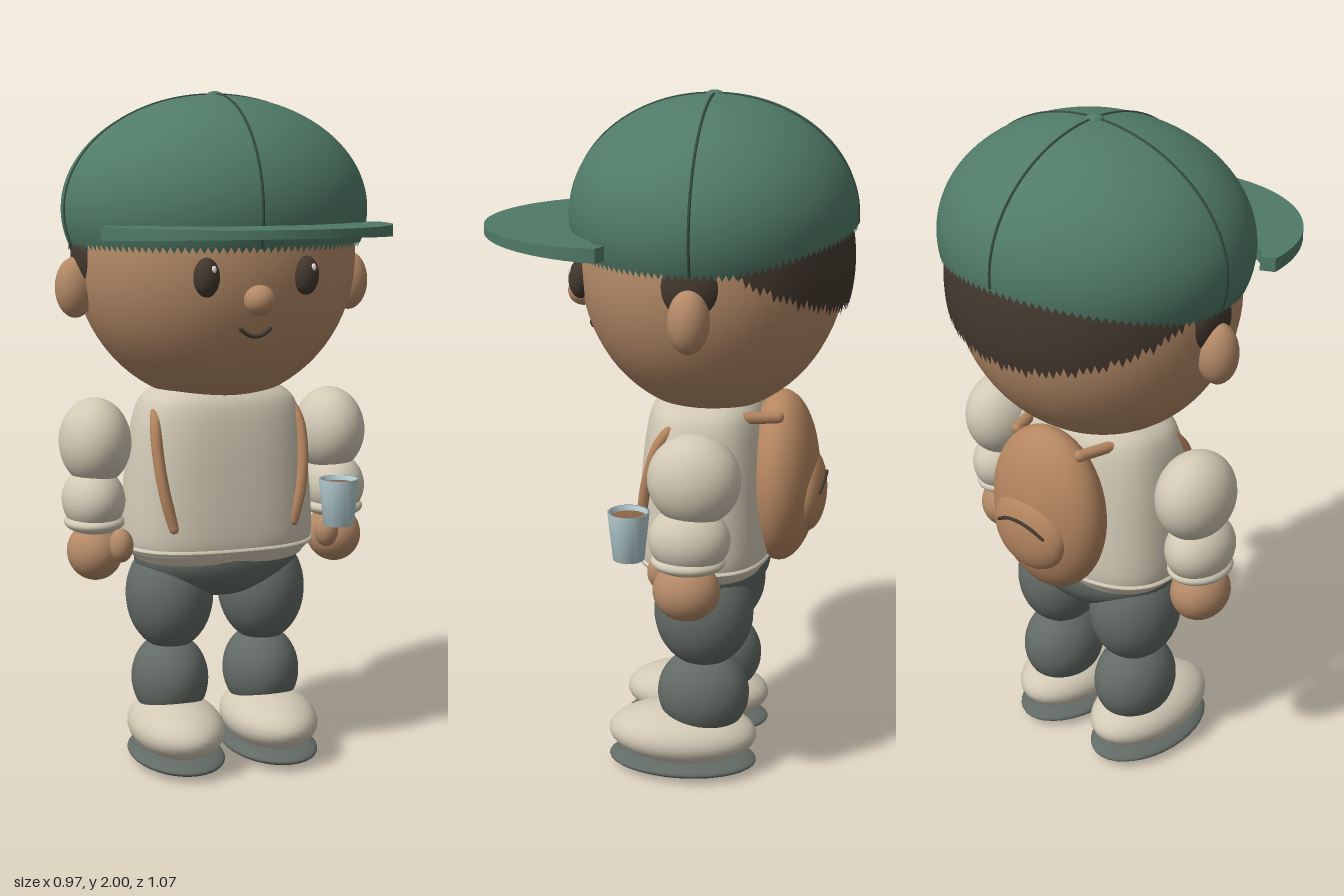
import * as THREE from 'three';

const mat = (name, color, side = THREE.FrontSide) => {
  const m = new THREE.MeshStandardMaterial({ color, side });
  m.name = name;
  return m;
};

export function createModel() {
  const root = new THREE.Group();
  root.name = 'figure';
  const skin = mat('skin', 0xb48a67);
  const green = mat('cap green', 0x507a67, THREE.DoubleSide);
  const seam = mat('seam green', 0x34493f);
  const dark = mat('dark brown', 0x43382e, THREE.DoubleSide);
  const cream = mat('cream', 0xd2c9b5);
  const grey = mat('trouser grey', 0x636b66);
  const tan = mat('pack tan', 0xb58660);
  const glass = mat('cup blue', 0xb7d0d4, THREE.DoubleSide);
  const white = mat('white', 0xf4f2ec);
  const drink = mat('drink brown', 0x8c6448);
  const ZC = -0.125; // depth of the body axis

  const add = (name, geo, material) => {
    const m = new THREE.Mesh(geo, material);
    m.name = name;
    root.add(m);
    return m;
  };
  const ball = (name, material, p, r, seg = 36) => {
    const m = add(name, new THREE.SphereGeometry(1, seg, Math.round(seg * 0.67)), material);
    m.position.set(...p);
    m.scale.set(...r);
    return m;
  };
  const tube = (name, material, pts, r, n = 32) => {
    const curve = new THREE.CatmullRomCurve3(pts.map((p) => new THREE.Vector3(...p)));
    const m = add(name, new THREE.TubeGeometry(curve, n, r, 10), material);
    for (const p of [pts[0], pts[pts.length - 1]]) ball(name + 'End', material, p, [r, r, r], 10);
    return m;
  };

  // Ellipsoid shell cut off at a height that varies around the head
  const shell = (name, material, cy, rx, ry, rz, cutY) => {
    const geo = new THREE.SphereGeometry(1, 128, 32);
    const { position: P, normal: N, uv } = geo.attributes;
    for (let i = 0; i < P.count; i++) {
      const a = uv.getX(i) * Math.PI * 2;
      const end = Math.acos(THREE.MathUtils.clamp((cutY(-Math.cos(a), a) - cy) / ry, -1, 1));
      const f = (1 - uv.getY(i)) * end;
      const d = new THREE.Vector3(Math.sin(f) * Math.sin(a), Math.cos(f), Math.sin(f) * Math.cos(a));
      P.setXYZ(i, d.x * rx, d.y * ry + cy, d.z * rz + ZC);
      d.set(d.x / rx, d.y / ry, d.z / rz).normalize();
      N.setXYZ(i, d.x, d.y, d.z);
    }
    return add(name, geo, material);
  };
  const backness = (c) => Math.max(0, (c - 0.29) / 0.71);

  // Head and face
  ball('head', skin, [0, 1.52, ZC], [0.42, 0.43, 0.378], 56);
  ball('nose', skin, [0, 1.42, 0.255], [0.045, 0.043, 0.045], 24);
  tube('mouth', dark, [[-0.044, 1.338, 0.222], [-0.022, 1.322, 0.222], [0, 1.317, 0.222],
    [0.022, 1.322, 0.222], [0.044, 1.338, 0.222]], 0.006);
  for (const s of [-1, 1]) {
    ball('eye', dark, [0.147 * s, 1.485, 0.23], [0.037, 0.055, 0.034], 24);
    ball('eyeGlint', white, [0.147 * s + 0.012, 1.508, 0.257], [0.008, 0.011, 0.006], 12);
    ball('ear', skin, [0.428 * s, 1.44, -0.122], [0.058, 0.088, 0.057], 28);
    ball('sideburn', dark, [0.385 * s, 1.525, -0.122], [0.05, 0.095, 0.09], 28);
  }

  // Hair at the back with a ragged lower edge
  shell('hair', dark, 1.53, 0.434, 0.45, 0.402, (c, a) => (c < 0.29 ? 1.6
    : 1.55 - 0.15 * Math.pow(backness(c), 0.9) + 0.005 * Math.sin(a * 37) + 0.004 * Math.sin(a * 61)));

  // Cap crown, seams, button
  shell('capCrown', green, 1.66, 0.455, 0.33, 0.407, (c) => 1.55 + 0.07 * backness(c));
  const arcX = [], arcZ = [];
  for (let i = 0; i <= 32; i++) {
    const f = -1.86 + (3.72 * i) / 32;
    const y = 1.66 + 0.33 * Math.cos(f);
    arcX.push([0.455 * Math.sin(f), y, ZC]);
    if (f > -1.68) arcZ.push([0, y, ZC + 0.407 * Math.sin(f)]);
  }
  tube('capSeam', seam, arcX, 0.004, 64);
  tube('capSeam', seam, arcZ, 0.004, 64);
  ball('capButton', green, [0, 1.983, ZC], [0.028, 0.017, 0.028], 20);

  // Cap brim
  const brim = [];
  for (let i = 0; i <= 40; i++) {
    const a = (Math.PI * i) / 40;
    brim.push(new THREE.Vector2(0.42 * Math.cos(a), -0.13 - 0.4 * Math.sin(a)));
  }
  for (let i = 20; i >= 0; i--) {
    const a = (Math.PI * i) / 20;
    brim.push(new THREE.Vector2(0.38 * Math.cos(a), -0.113 - 0.1 * Math.sin(a)));
  }
  const brimGeo = new THREE.ExtrudeGeometry(new THREE.Shape(brim), { depth: 0.024, bevelEnabled: false });
  brimGeo.rotateX(-Math.PI / 2);
  const bp = brimGeo.attributes.position;
  for (let i = 0; i < bp.count; i++) {
    // The underside drops slightly towards the crown
    const drop = bp.getY(i) < 0.01 ? (0.53 - bp.getZ(i)) * 0.04 : 0;
    bp.setY(i, bp.getY(i) + 1.602 - drop);
  }
  brimGeo.computeVertexNormals();
  add('capBrim', brimGeo, green);

  // Torso: a lathe squared off into a rounded-box section
  const squared = (geo) => {
    const P = geo.attributes.position;
    for (let i = 0; i < P.count; i++) {
      const x = P.getX(i), z = P.getZ(i), r = Math.hypot(x, z);
      if (r < 1e-6) continue;
      const k = r / Math.pow(Math.pow(Math.abs(x), 2.6) + Math.pow(Math.abs(z), 2.6), 1 / 2.6);
      P.setXYZ(i, x * k, P.getY(i), z * k * 0.68 + ZC + 0.01);
    }
    geo.computeVertexNormals();
    return geo;
  };
  const profile = [[0, 0.62], [0.22, 0.622], [0.265, 0.645], [0.285, 0.68], [0.287, 0.75], [0.278, 0.87],
    [0.265, 0.98], [0.245, 1.07], [0.215, 1.12], [0.15, 1.15], [0, 1.16]];
  const smooth = new THREE.SplineCurve(profile.map((p) => new THREE.Vector2(...p))).getPoints(40);
  smooth.forEach((p) => { p.x = Math.max(0, p.x); });
  add('sweater', squared(new THREE.LatheGeometry(smooth, 64)), cream);
  const hem = new THREE.TorusGeometry(0.283, 0.008, 8, 64).rotateX(Math.PI / 2).translate(0, 0.67, 0);
  add('sweaterHem', squared(hem), cream);

  // Hips
  ball('hips', grey, [0, 0.635, -0.12], [0.255, 0.135, 0.182]);

  for (const s of [-1, 1]) {
    // Legs and shoes
    ball('thigh', grey, [0.147 * s, 0.51, -0.125], [0.131, 0.17, 0.146]);
    ball('shin', grey, [0.147 * s, 0.25, -0.125], [0.115, 0.135, 0.136]);
    ball('shoe', cream, [0.149 * s, 0.118, -0.063], [0.138, 0.087, 0.222]);
    ball('sole', grey, [0.149 * s, 0.034, -0.063], [0.138, 0.03, 0.222]);

    // Arms and hands
    ball('upperArm', cream, [0.372 * s, 0.985, -0.13], [0.105, 0.13, 0.13]);
    ball('forearm', cream, [0.382 * s, 0.815, -0.118], [0.092, 0.098, 0.115]);
    ball('cuff', cream, [0.381 * s, 0.75, -0.115], [0.088, 0.034, 0.104]);
    ball('hand', skin, [0.381 * s, 0.662, -0.111], [0.082, 0.086, 0.095]);
    ball('thumb', skin, [0.324 * s, 0.69, -0.03], [0.036, 0.05, 0.04], 24);

    // Pack straps running over the shoulders
    tube('strap', tan, [[0.185 * s, 0.745, 0.045], [0.21 * s, 0.84, 0.042], [0.224 * s, 0.95, 0.022],
      [0.222 * s, 1.04, -0.01], [0.205 * s, 1.09, -0.06], [0.18 * s, 1.1, -0.14], [0.12 * s, 1.1, -0.33]], 0.017, 48);
  }

  // Backpack with a pocket and zip
  ball('backpack', tan, [0, 0.89, -0.33], [0.195, 0.255, 0.112], 44);
  ball('packPocket', tan, [0, 0.85, -0.41], [0.13, 0.12, 0.054]);
  tube('packZip', dark, [[-0.085, 0.87, -0.45], [-0.045, 0.893, -0.459], [0, 0.9, -0.461],
    [0.045, 0.893, -0.459], [0.085, 0.87, -0.45]], 0.005);

  // Cup held in the left hand
  const cupProfile = [[0, 0.725], [0.045, 0.725], [0.06, 0.865], [0.053, 0.865], [0.05, 0.84]];
  const cup = add('cup', new THREE.LatheGeometry(cupProfile.map((p) => new THREE.Vector2(...p)), 16), glass);
  cup.position.set(0.325, 0, 0.063);
  const top = add('drink', new THREE.CylinderGeometry(0.052, 0.052, 0.006, 16), drink);
  top.position.set(0.325, 0.848, 0.063);

  // Stand on the ground
  root.children.forEach((m) => { m.position.y -= 0.004; });
  return root;
}
